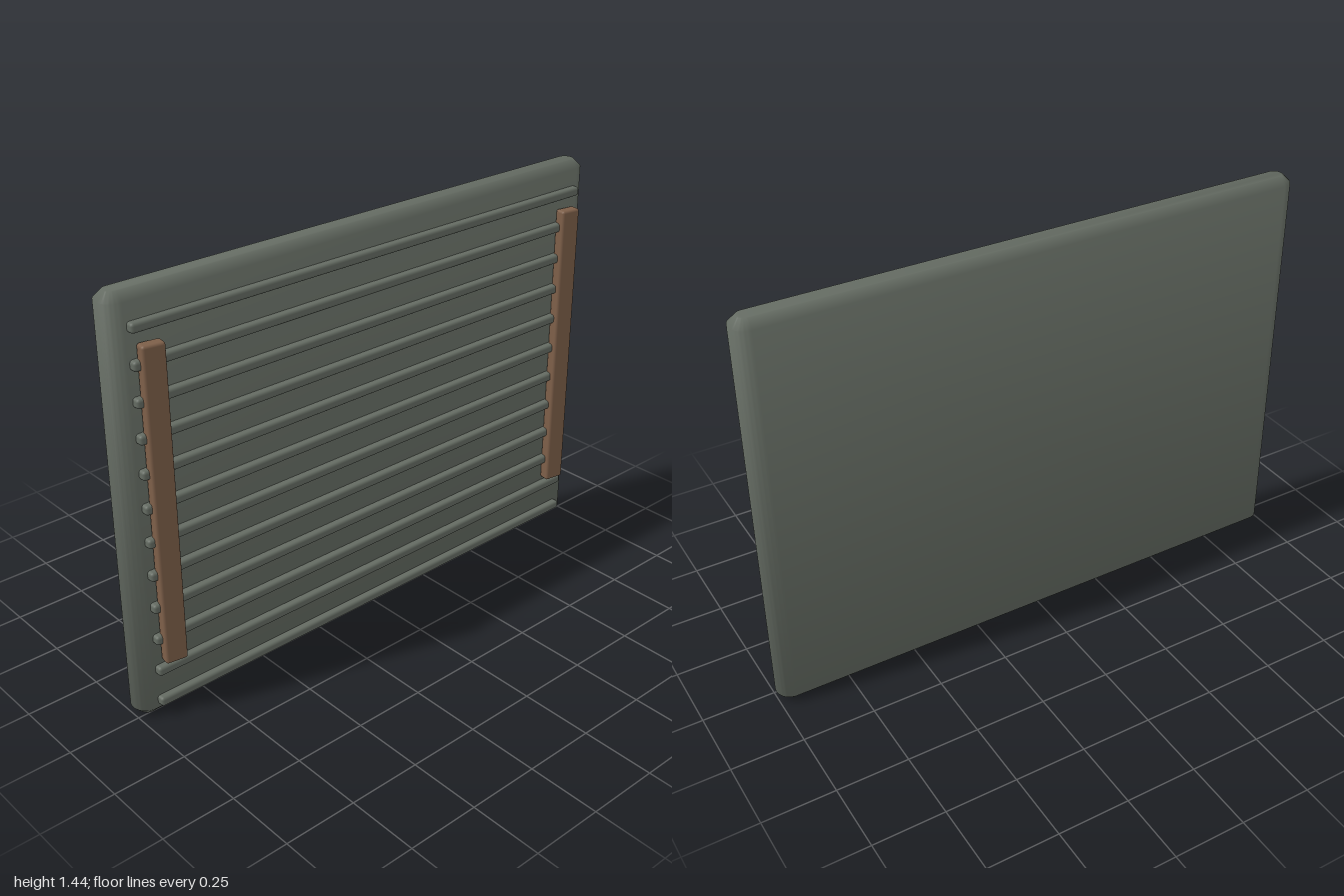
import * as THREE from 'three';
import { toCreasedNormals } from 'three/addons/utils/BufferGeometryUtils.js';
import { RoundedBoxGeometry } from 'three/addons/geometries/RoundedBoxGeometry.js';

// Rounded rectangle centred on the origin
function roundedRect(w, h, r) {
  const x = w / 2, y = h / 2, s = new THREE.Shape();
  s.moveTo(-x + r, -y);
  s.lineTo(x - r, -y);
  s.absarc(x - r, -y + r, r, -Math.PI / 2, 0);
  s.lineTo(x, y - r);
  s.absarc(x - r, y - r, r, 0, Math.PI / 2);
  s.lineTo(-x + r, y);
  s.absarc(-x + r, y - r, r, Math.PI / 2, Math.PI);
  s.lineTo(-x, -y + r);
  s.absarc(-x + r, -y + r, r, Math.PI, Math.PI * 1.5);
  return s;
}

export function createModel() {
  const model = new THREE.Group();
  model.name = 'ribbedPanel';
  const green = new THREE.MeshStandardMaterial({ color: 0x646b62 });
  green.name = 'grey green';
  const brown = new THREE.MeshStandardMaterial({ color: 0x7d5f49 });
  brown.name = 'brown wood';

  const add = (name, geometry, material, x, y, z) => {
    const mesh = new THREE.Mesh(geometry, material);
    mesh.name = name;
    mesh.position.set(x, y, z);
    model.add(mesh);
    return mesh;
  };

  // Panel: round-sided slab, chamfered at top and bottom
  const height = 1.44, bevel = 0.027;
  const slab = new THREE.ExtrudeGeometry(roundedRect(2 - 2 * bevel, 0.054, 0.0255), {
    depth: height - 2 * bevel, bevelEnabled: true, bevelSegments: 1,
    bevelSize: bevel, bevelThickness: bevel, curveSegments: 6,
  });
  slab.rotateX(-Math.PI / 2);
  add('panel', toCreasedNormals(slab, Math.PI / 3), green, 0, bevel, -0.026);

  // Twelve horizontal ribs on the front face
  const rib = new RoundedBoxGeometry(1.88, 0.032, 0.044, 2, 0.01);
  for (let i = 0; i < 12; i++) {
    add('rib' + (i + 1), rib, green, 0, 0.056 + i * 0.1165, 0.031);
  }

  // Two upright wooden battens, turned slightly the same way
  const batten = new RoundedBoxGeometry(0.075, 1.08, 0.042, 2, 0.009);
  for (const [name, x] of [['leftBatten', 0.882], ['rightBatten', -0.882]]) {
    add(name, batten, brown, x, 0.745, 0.054).rotation.y = -0.15;
  }

  return model;
}
